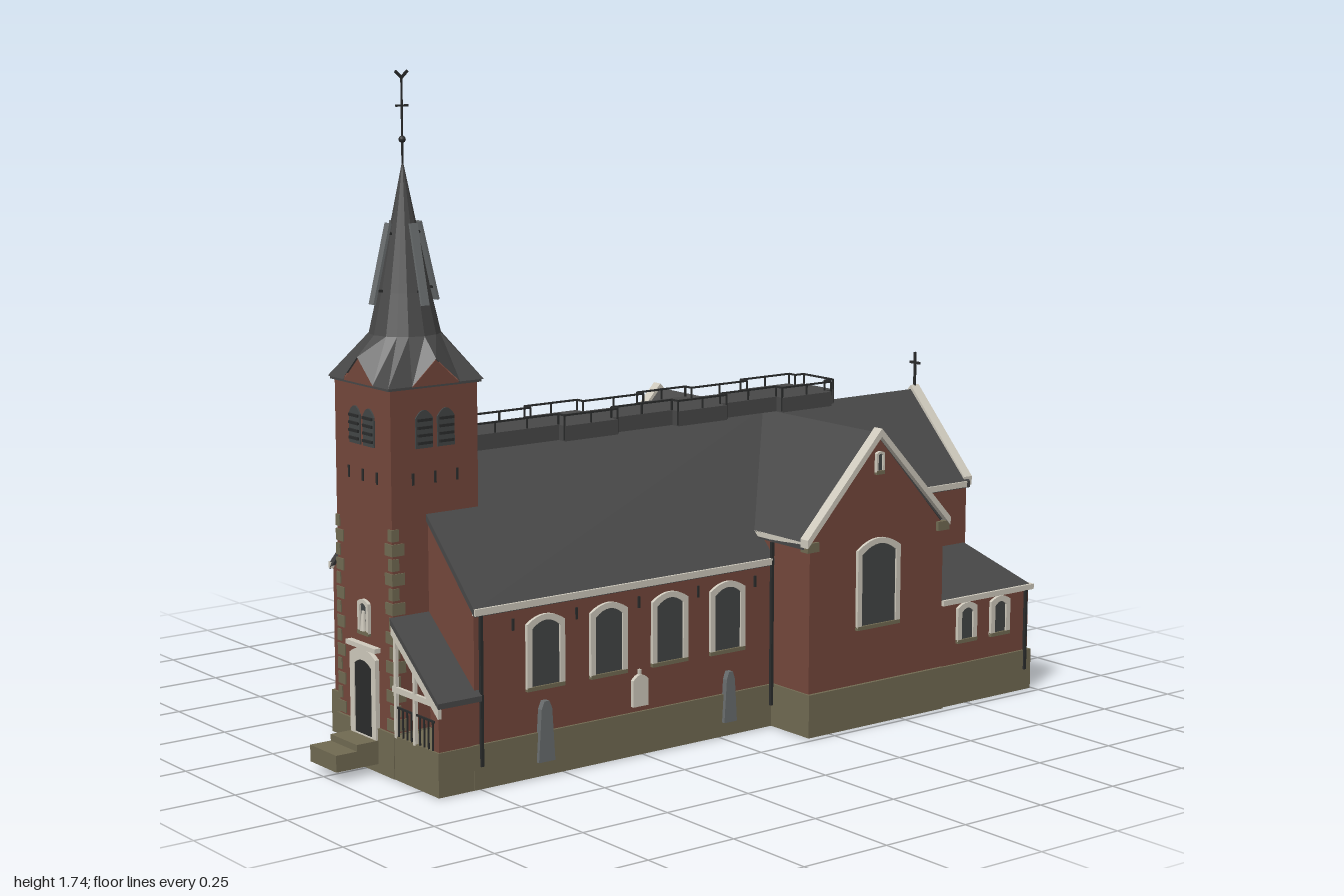
import * as THREE from 'three';
import { ConvexGeometry } from 'three/addons/geometries/ConvexGeometry.js';

const mat = (name, color, side = THREE.FrontSide) =>
  Object.assign(new THREE.MeshStandardMaterial({ color, side }), { name });

export function createModel() {
  const brick = mat('brick', 0x74473b), stone = mat('plinthStone', 0x716a52);
  const trim = mat('paleTrim', 0xcfcabd), roof = mat('roofSlate', 0x484848, THREE.DoubleSide);
  const glass = mat('windowGlass', 0x434646), iron = mat('iron', 0x2b2c2c), slate = mat('greySlate', 0x696d6e);

  const model = new THREE.Group();
  model.name = 'church';
  const add = (name, geo, m, parent = model) => {
    const mesh = new THREE.Mesh(geo, m);
    mesh.name = name;
    parent.add(mesh);
    return mesh;
  };
  const box = (name, m, x0, x1, y0, y1, z0, z1, parent) => add(name,
    new THREE.BoxGeometry(x1 - x0, y1 - y0, z1 - z0).translate((x0 + x1) / 2, (y0 + y1) / 2, (z0 + z1) / 2), m, parent);
  const poly = pts => new THREE.Shape(pts.map(p => new THREE.Vector2(...p)));
  const extrude = (shape, depth) => new THREE.ExtrudeGeometry(shape, { depth, bevelEnabled: false, curveSegments: 8 });
  // gabled outlines: a solid wall, or a chevron strip of thickness t
  const wallShape = (hw, eave, ridge) => poly([[-hw, 0], [hw, 0], [hw, eave], [0, ridge], [-hw, eave]]);
  const chevron = (hw, eave, ridge, t) =>
    poly([[-hw, eave - t], [0, ridge - t], [hw, eave - t], [hw, eave], [0, ridge], [-hw, eave]]);
  const alongX = (name, shape, x0, x1, m) =>
    add(name, extrude(shape, x1 - x0).rotateY(Math.PI / 2).translate(x0, 0, 0), m);
  const alongZ = (name, shape, x, z0, z1, m) => add(name, extrude(shape, z1 - z0).translate(x, 0, z0), m);
  const arch = (w, y0, y1, rise) => {
    const s = new THREE.Shape();
    s.moveTo(-w / 2, y0); s.lineTo(w / 2, y0); s.lineTo(w / 2, y1 - rise);
    s.quadraticCurveTo(0, y1 + rise, -w / 2, y1 - rise);
    return s;
  };
  // a spot on a wall, facing out along +z before turning
  const onWall = (name, x, z, turn) => {
    const g = new THREE.Group();
    g.name = name; g.position.set(x, 0, z); g.rotation.y = turn;
    model.add(g);
    return g;
  };
  const archWindow = (w, y0, y1, x, z, turn, t = 0.015) => {
    const g = onWall('window', x, z, turn);
    const frame = arch(w, y0, y1, w * 0.18);
    frame.holes.push(arch(w - 2 * t, y0 + 0.003, y1 - t, w * 0.16));
    add('windowFrame', extrude(frame, 0.009), trim, g);
    add('windowPane', extrude(arch(w - 2 * t, y0, y1 - t, w * 0.16), 0.004), glass, g);
    box('windowSill', stone, -w / 2, w / 2, y0 - 0.006, y0 + 0.004, 0, 0.01, g);
  };

  // main walls
  alongX('naveWalls', wallShape(0.325, 0.44, 0.765), -0.765, 0.4, brick);
  alongZ('transeptWalls', wallShape(0.235, 0.51, 0.77), 0.415, -0.475, 0.475, brick);
  alongX('choirWalls', wallShape(0.21, 0.54, 0.77), 0.4, 0.99, brick);
  box('towerWalls', brick, -0.87, -0.615, 0, 0.985, -0.128, 0.128);

  // plinth
  box('navePlinth', stone, -0.772, 0.2, 0.002, 0.115, -0.332, 0.332);
  box('transeptPlinth', stone, 0.174, 0.652, 0.002, 0.117, -0.484, 0.484);
  box('choirPlinth', stone, 0.6, 0.998, 0.002, 0.115, -0.216, 0.216);
  box('towerPlinth', stone, -0.877, -0.61, 0.002, 0.116, -0.134, 0.134);
  box('porchPlinth', stone, -0.875, -0.77, 0.002, 0.114, 0.13, 0.331);
  box('lowerStep', stone, -1, -0.87, 0.025, 0.068, -0.062, 0.062);
  box('upperStep', stone, -0.94, -0.87, 0.068, 0.085, -0.062, 0.062);

  // main roofs
  alongX('naveRoof', chevron(0.335, 0.455, 0.785, 0.018), -0.77, 0.415, roof);
  alongZ('transeptRoof', chevron(0.25, 0.52, 0.783, 0.018), 0.415, -0.47, 0.47, roof);
  alongX('choirRoof', chevron(0.23, 0.55, 0.784, 0.018), 0.415, 0.985, roof);

  // gable copings
  alongX('choirCoping', chevron(0.225, 0.562, 0.796, 0.025), 0.967, 0.997, trim);

  // matching parts on both long sides
  for (const s of [1, -1]) {
    const zBox = (name, m, x0, x1, y0, y1, a, b) =>
      box(name, m, x0, x1, y0, y1, Math.min(s * a, s * b), Math.max(s * a, s * b));
    const turn = s > 0 ? 0 : Math.PI;
    alongZ('transeptCoping', chevron(0.252, 0.53, 0.796, 0.022), 0.415, s * 0.472 - 0.015, s * 0.472 + 0.015, trim);
    for (const e of [-1, 1])
      box('kneeler', stone, 0.415 + e * 0.23 - 0.02, 0.415 + e * 0.23 + 0.02, 0.495, 0.52, s * 0.47 - 0.014, s * 0.47 + 0.014);
    zBox('naveGutter', trim, -0.77, 0.17, 0.44, 0.457, 0.325, 0.34);
    zBox('choirGutter', trim, 0.66, 0.97, 0.535, 0.551, 0.21, 0.235);
    for (const x of [0.165, 0.648]) zBox('transeptGutter', trim, x, x + 0.017, 0.507, 0.521, 0.23, 0.47);

    // nave, transept and choir windows
    for (const x of [-0.555, -0.36, -0.165, 0.025]) archWindow(0.115, 0.23, 0.415, x, s * 0.325, turn);
    archWindow(0.15, 0.27, 0.505, 0.415, s * 0.475, turn);
    archWindow(0.085, 0.41, 0.505, 0.845, s * 0.21, turn);
    archWindow(0.028, 0.68, 0.735, 0.415, s * 0.475, turn, 0.006);
    for (const x of [-0.65, -0.457, -0.262, -0.07, 0.12]) zBox('wallAnchor', iron, x - 0.003, x + 0.003, 0.385, 0.415, 0.324, 0.329);

    // corner annex with hipped roof
    zBox('annexWalls', brick, 0.64, 0.982, 0, 0.29, 0.2, 0.47);
    zBox('annexPlinth', stone, 0.645, 0.99, 0.002, 0.114, 0.2, 0.477);
    zBox('annexGutter', trim, 0.652, 0.992, 0.284, 0.299, 0.21, 0.482);
    const ridge = [[0.645, 0.41], [0.855, 0.41]].map(([x, y]) => new THREE.Vector3(x, y, s * 0.345));
    const eaves = [0.645, 0.985].flatMap(x => [0.21, 0.475].map(z => new THREE.Vector3(x, 0.298, s * z)));
    add('annexRoof', new ConvexGeometry([...ridge, ...eaves]), roof);
    for (const x of [0.745, 0.87]) archWindow(0.072, 0.177, 0.282, x, s * 0.47, turn);
    archWindow(0.072, 0.177, 0.282, 0.982, s * 0.338, Math.PI / 2);

    // downpipes
    for (const [x, top, z] of [[-0.75, 0.44, 0.334], [0.17, 0.5, 0.336], [0.965, 0.285, 0.478]])
      zBox('downpipe', iron, x - 0.004, x + 0.004, 0.06, top, z - 0.004, z + 0.004);

    // stone quoins on the tower's entrance corners
    for (let i = 0; i < 14; i++) {
      const w = i % 2 ? 0.018 : 0.034, y = 0.12 + i * 0.037;
      zBox('quoin', stone, -0.873, -0.87 + w, y, y + 0.03, 0.131 - w, 0.131);
    }
  }
  archWindow(0.03, 0.665, 0.715, 0.99, 0, Math.PI / 2, 0.007);

  // tower belfry openings and slits
  for (let k = 0; k < 4; k++) {
    const a = k * Math.PI / 2;
    const g = onWall('belfryFace', -0.7425 + Math.sin(a) * 0.1275, Math.cos(a) * 0.128, a);
    for (const x of [-0.032, 0.032]) {
      add('belfryOpening', extrude(arch(0.05, 0.825, 0.92, 0.02).clone(), 0.004).translate(x, 0, 0), glass, g);
      for (let i = 0; i < 4; i++) box('louvre', iron, x - 0.021, x + 0.021, 0.835 + i * 0.019, 0.842 + i * 0.019, 0.003, 0.009, g);
    }
    for (const x of [-0.065, 0, 0.065]) box('wallSlit', iron, x - 0.003, x + 0.003, 0.735, 0.765, 0, 0.003, g);
    add('spireGable', extrude(poly([[-0.069, 0.98], [0.069, 0.98], [0, 1.042]]), 0.01), brick, g);
  }

  // spire: square gabled skirt narrowing into a faceted cone
  const spire = new THREE.Group();
  spire.name = 'spire';
  spire.position.set(-0.743, 0, 0);
  model.add(spire);
  const skirt = [];
  for (let k = 0; k < 4; k++) for (const t of [-1, -0.5, 0, 0.5]) {
    const c = Math.cos(k * Math.PI / 2), n = Math.sin(k * Math.PI / 2), r = 0.14;
    skirt.push(new THREE.Vector3(r * (c - t * n), t === 0 ? 1.045 : 0.982, r * (n + t * c)));
  }
  const ringAt = (r, y) => skirt.map(p => {
    const a = Math.atan2(p.z, p.x);
    return new THREE.Vector3(r * Math.cos(a), y, r * Math.sin(a));
  });
  const rings = [skirt, ringAt(0.09, 1.095), ringAt(0.066, 1.2), ringAt(0.002, 1.515)];
  const verts = [];
  for (let j = 0; j < 3; j++) for (let i = 0; i < 16; i++) {
    const n = (i + 1) % 16, [a, b, c, d] = [rings[j][i], rings[j][n], rings[j + 1][i], rings[j + 1][n]];
    for (const p of [a, c, b, b, c, d]) verts.push(p.x, p.y, p.z);
  }
  const spireGeo = new THREE.BufferGeometry();
  spireGeo.setAttribute('position', new THREE.Float32BufferAttribute(verts, 3));
  spireGeo.computeVertexNormals();
  add('spireRoof', spireGeo, roof, spire);
  box('spireSoffit', roof, -0.136, 0.136, 0.975, 0.983, -0.136, 0.136, spire);
  for (let k = 0; k < 4; k++) {
    const g = new THREE.Group();
    g.name = 'spireBoard';
    g.rotation.y = k * Math.PI / 2;
    spire.add(g);
    const board = add('board', new THREE.BoxGeometry(0.022, 0.205, 0.007), slate, g);
    board.position.set(0, 1.27, 0.069);
    board.rotation.x = -0.245;
    for (const [y, z] of [[1.2, 0.085], [1.34, 0.05]]) box('boardBracket', iron, -0.004, 0.004, y, y + 0.006, z - 0.03, z, g);
  }

  // weather vane
  box('vanePole', iron, -0.002, 0.002, 1.5, 1.725, -0.002, 0.002, spire);
  add('vaneBall', new THREE.SphereGeometry(0.009, 10, 8).translate(0, 1.573, 0), iron, spire);
  box('vaneCrossbar', iron, -0.018, 0.018, 1.653, 1.658, -0.018, 0.018, spire).scale.z = 0.15;
  for (const e of [-1, 1])
    add('vaneWing', new THREE.BoxGeometry(0.024, 0.007, 0.004).rotateZ(e * 0.75).translate(e * 0.009, 1.732, 0), iron, spire);

  // cross on the choir gable
  box('gableCrossPost', iron, 0.979, 0.985, 0.79, 0.89, -0.003, 0.003);
  box('gableCrossBar', iron, 0.979, 0.985, 0.856, 0.863, -0.02, 0.02);

  // ridge walkway with railing
  const stops = [-0.615, -0.32, -0.15, 0.05, 0.215, 0.41, 0.585, 0.617];
  for (let i = 0; i < 7; i++) {
    const x0 = stops[i], x1 = stops[i + 1], hw = i % 2 ? 0.092 : 0.065;
    box('walkwayDeck', roof, x0, x1, 0.786, 0.826, -hw, hw);
    const n = Math.max(1, Math.round((x1 - x0) / 0.085));
    for (const s of [-1, 1]) {
      const z = s * (hw - 0.003);
      box('walkwayRail', iron, x0, x1, 0.851, 0.856, z - 0.002, z + 0.002);
      for (let j = 0; j <= n; j++) {
        const x = x0 + (x1 - x0) * j / n;
        box('walkwayPost', iron, x - 0.002, x + 0.002, 0.788, 0.854, z - 0.002, z + 0.002);
      }
      if (i > 0) box('walkwayRailReturn', iron, x0 - 0.002, x0 + 0.002, 0.851, 0.856, Math.min(s * 0.062, s * 0.09), Math.max(s * 0.062, s * 0.09));
    }
  }
  box('walkwayEndRail', iron, 0.613, 0.617, 0.851, 0.856, -0.063, 0.063);

  // open side porch with lean-to roof
  box('porchWall', brick, -0.87, -0.765, 0, 0.245, 0.305, 0.326);
  alongX('porchRoof', poly([[-0.34, 0.24], [-0.128, 0.412], [-0.128, 0.396], [-0.34, 0.226]]), -0.88, -0.752, roof);
  alongX('porchBargeboard', poly([[-0.335, 0.226], [-0.128, 0.396], [-0.128, 0.37], [-0.335, 0.2]]), -0.878, -0.868, trim);
  box('porchBeam', trim, -0.876, -0.867, 0.225, 0.24, 0.128, 0.33);
  for (const z of [0.14, 0.225]) box('porchPost', trim, -0.876, -0.867, 0.11, z < 0.2 ? 0.38 : 0.3, z - 0.005, z + 0.005);
  box('porchRail', iron, -0.873, -0.869, 0.185, 0.19, 0.13, 0.31);
  for (let i = 0; i < 9; i++) box('porchBaluster', iron, -0.873, -0.869, 0.112, 0.187, 0.148 + i * 0.019, 0.151 + i * 0.019);

  // entrance door with surround and small niche
  const door = onWall('entrance', -0.87, 0, -Math.PI / 2);
  const surround = arch(0.12, 0.085, 0.31, 0.02);
  surround.holes.push(arch(0.08, 0.088, 0.28, 0.015));
  add('doorSurround', extrude(surround, 0.012), trim, door);
  add('doorLeaf', extrude(arch(0.08, 0.086, 0.28, 0.015), 0.009), iron, door);
  box('doorCornice', trim, -0.068, 0.068, 0.31, 0.322, 0, 0.018, door);
  archWindow(0.05, 0.35, 0.435, -0.87, 0, -Math.PI / 2, 0.01);
  add('nicheStatue', new THREE.CylinderGeometry(0.005, 0.01, 0.05, 8).translate(0, 0.38, 0.006), trim, door);

  // grave slabs leaning by the nave wall
  const slab = (x, y0, y1, w, m) => alongZ('graveSlab',
    poly([[-w / 2, y0], [w / 2, y0], [w * 0.32, y1 - 0.02], [w * 0.15, y1], [-w * 0.15, y1], [-w * 0.32, y1 - 0.02]]), x, 0.326, 0.342, m);
  slab(-0.56, 0.04, 0.195, 0.05, slate);
  slab(0.028, 0.04, 0.175, 0.042, slate);
  alongZ('whiteTablet', arch(0.048, 0.13, 0.213, 0.014), -0.262, 0.325, 0.336, trim);
  box('tabletCross', trim, -0.265, -0.259, 0.21, 0.226, 0.326, 0.334);

  return model;
}
